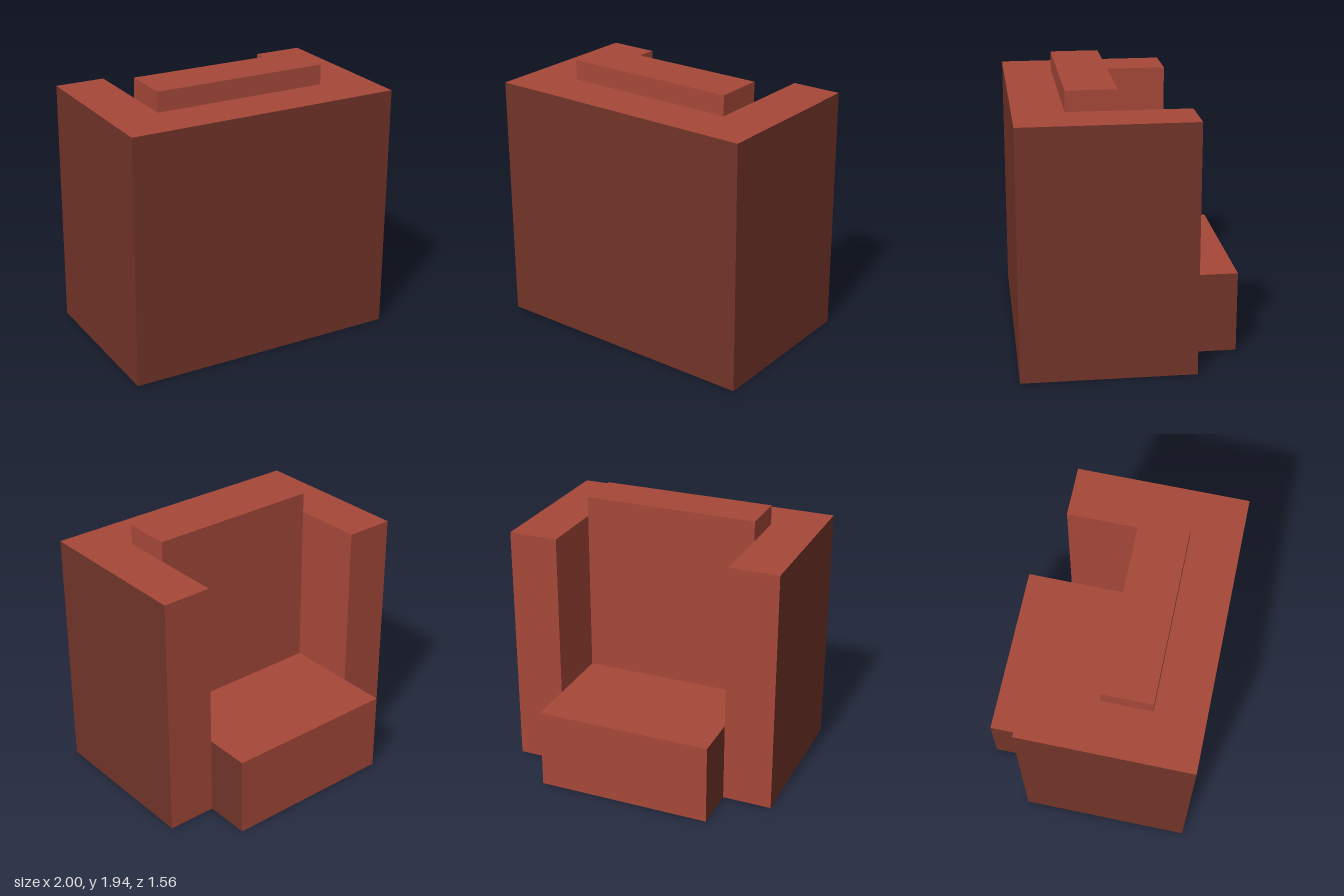
import * as THREE from 'three';

const light = new THREE.MeshStandardMaterial({ color: 0xa64839 });
light.name = 'red leather';
const dark = new THREE.MeshStandardMaterial({ color: 0x723429 });
dark.name = 'dark leather';

// Box given by its limits; faces ordered +x, -x, +y, -y, +z, -z
function box(name, x, y0, y1, z0, z1, materials) {
  const geometry = new THREE.BoxGeometry(2 * x, y1 - y0, z1 - z0);
  geometry.translate(0, (y0 + y1) / 2, (z0 + z1) / 2);
  const mesh = new THREE.Mesh(geometry, materials);
  mesh.name = name;
  return mesh;
}

// U-shaped shell: two arms joined by the back, dark on its three outer walls
function makeShell() {
  const W = 1, inner = 0.64, height = 1.79, open = -0.44, back = 0.78, wall = 0.425;
  const outline = [
    [-W, back], [W, back], [W, open], [inner, open],
    [inner, wall], [-inner, wall], [-inner, open], [-W, open],
  ].map(([x, z]) => new THREE.Vector2(x, -z));
  const geometry = new THREE.ExtrudeGeometry(new THREE.Shape(outline), { depth: height, bevelEnabled: false });
  geometry.rotateX(-Math.PI / 2);

  // Choose the colour of each triangle from where it lies
  const p = geometry.attributes.position;
  const all = (i, test) => [i, i + 1, i + 2].every(test);
  geometry.clearGroups();
  for (let i = 0; i < p.count; i += 3) {
    const outside =
      all(i, (k) => p.getX(k) > W - 0.001) ||
      all(i, (k) => p.getX(k) < -W + 0.001) ||
      all(i, (k) => p.getZ(k) > back - 0.001);
    geometry.addGroup(i, 3, outside ? 1 : 0);
  }
  const mesh = new THREE.Mesh(geometry, [light, dark]);
  mesh.name = 'armsAndBack';
  return mesh;
}

export function createModel() {
  const group = new THREE.Group();
  group.name = 'armchair';
  group.add(makeShell());
  // Seat block reaching out past the arms, with dark sides
  group.add(box('seat', 0.64, 0, 0.587, -0.78, 0.425, [dark, dark, light, light, light, light]));
  // Back cushion rising above the shell
  group.add(box('backCushion', 0.64, 0.587, 1.935, 0.07, 0.425, light));
  return group;
}
